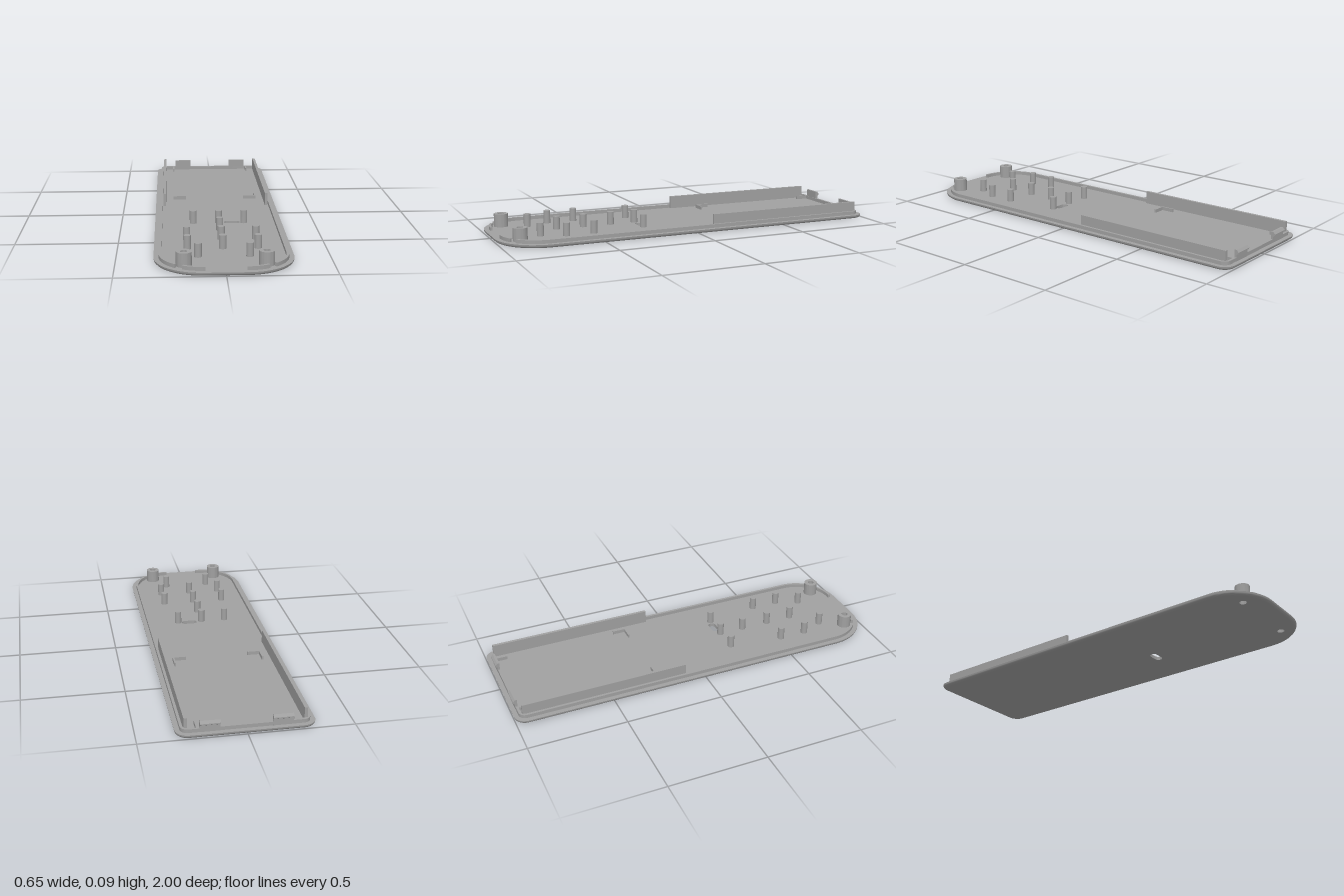
import * as THREE from 'three';
import { toCreasedNormals } from 'three/addons/utils/BufferGeometryUtils.js';

const W = 0.325, BASE = 0.018, LIP = 0.036, TOP = 0.085;
const R_FRONT = 0.225, R_BACK = 0.06;

// Points of an arc in the (x, z) plane, angles in degrees from +x towards +z
function arc(cx, cz, r, from, to, n = 16) {
  return Array.from({ length: n + 1 }, (_, i) => {
    const a = THREE.MathUtils.degToRad(from + (to - from) * i / n);
    return new THREE.Vector2(cx + r * Math.cos(a), cz + r * Math.sin(a));
  });
}

// The four corner arcs of the body, moved inwards by inset
const frontArc = (side, inset, from, to) =>
  arc(side * (W - R_FRONT), 1 - R_FRONT, R_FRONT - inset, from, to);
const backArc = (side, inset, from, to) =>
  arc(side * (W - R_BACK), -1 + R_BACK, R_BACK - inset, from, to, 10);

const outline = (inset) => [
  ...frontArc(1, inset, 0, 90), ...frontArc(-1, inset, 90, 180),
  ...backArc(-1, inset, 180, 270), ...backArc(1, inset, 270, 360),
];

// Extrudes an (x, z) shape between two heights
function slab(shape, y0, y1) {
  const g = new THREE.ExtrudeGeometry(shape, { depth: y1 - y0, bevelEnabled: false, curveSegments: 24 });
  g.rotateX(Math.PI / 2).translate(0, y1, 0);
  return toCreasedNormals(g, 0.6);
}

const circle = (x, z, r) => new THREE.Path().absarc(x, z, r, 0, Math.PI * 2, true);

// Closed rim lofted through [inset, height] levels
function rimGeometry(levels) {
  const rings = levels.map(([inset]) => outline(inset));
  const n = rings[0].length, pos = [], index = [];
  rings.forEach((ring, k) => ring.forEach((p) => pos.push(p.x, levels[k][1], p.y)));
  for (let k = 0; k < rings.length - 1; k++) {
    for (let i = 0; i < n; i++) {
      const j = (i + 1) % n;
      const a = k * n + i, b = k * n + j, c = a + n, d = b + n;
      index.push(a, c, b, b, c, d);
    }
  }
  const g = new THREE.BufferGeometry();
  g.setAttribute('position', new THREE.Float32BufferAttribute(pos, 3));
  g.setIndex(index);
  return toCreasedNormals(g, 0.7);
}

export function createModel() {
  const model = new THREE.Group();
  model.name = 'remoteBackCover';
  const plastic = new THREE.MeshStandardMaterial({ color: 0xa0a0a0 });
  plastic.name = 'grey plastic';

  const add = (name, geometry) => {
    const mesh = new THREE.Mesh(geometry, plastic);
    mesh.name = name;
    model.add(mesh);
    return mesh;
  };
  const box = (name, x0, x1, y0, y1, z0, z1) =>
    add(name, new THREE.BoxGeometry(x1 - x0, y1 - y0, z1 - z0))
      .position.set((x0 + x1) / 2, (y0 + y1) / 2, (z0 + z1) / 2);

  // Base plate with screw holes and a slot
  const bossX = 0.187, bossZ = 0.895;
  const plate = new THREE.Shape(outline(0.018));
  for (const s of [-1, 1]) plate.holes.push(circle(s * bossX, bossZ, 0.018));
  plate.holes.push(new THREE.Path([
    ...arc(0.09, 0.222, 0.02, -90, 90), ...arc(0.048, 0.222, 0.02, 90, 270),
  ]));
  add('basePlate', slab(plate, 0, BASE));

  // Rounded lower edge around the plate
  add('baseRim', rimGeometry([
    [0.018, 0], [0.012, 0.0008], [0.007, 0.003], [0.003, 0.007], [0.0008, 0.012],
    [0, BASE], [0.018, BASE],
  ]));

  // Raised lip along the sides and back
  const lipPath = (inset) => [
    ...frontArc(1, inset, 50, 0), ...backArc(1, inset, 0, -90),
    ...backArc(-1, inset, -90, -180), ...frontArc(-1, inset, 180, 130),
  ];
  add('lip', slab(new THREE.Shape([...lipPath(0.024), ...lipPath(0.037).reverse()]), BASE, LIP));

  for (const s of [-1, 1]) {
    const side = s > 0 ? 'left' : 'right';
    const span = (a, b) => (s > 0 ? [a, b] : [-b, -a]);

    // Short lip piece on the front curve
    const [from, to] = s > 0 ? [61, 92] : [119, 88];
    add(side + 'FrontLip', slab(new THREE.Shape([
      ...frontArc(s, 0.026, from, to), ...frontArc(s, 0.038, to, from),
    ]), BASE, LIP));

    // Tall side rail
    box(side + 'Rail', ...span(0.27, 0.285), BASE, TOP, -0.96, -0.1);

    // Screw boss
    const ring = new THREE.Shape().absarc(s * bossX, bossZ, 0.036, 0, Math.PI * 2);
    ring.holes.push(circle(s * bossX, bossZ, 0.016));
    add(side + 'ScrewBoss', slab(ring, BASE, TOP));

    // Corner brackets of the battery bay
    box(side + 'FrontBracketSide', ...span(0.222, 0.23), BASE, LIP, -0.31, -0.238);
    box(side + 'FrontBracketEnd', ...span(0.16, 0.23), BASE, LIP, -0.246, -0.238);
    box(side + 'BackBracketSide', ...span(0.222, 0.23), BASE, LIP, -0.965, -0.9);

    // Hooked clip at the back edge
    const hook = new THREE.Shape([
      [0.965, BASE], [0.977, BASE], [0.977, 0.05], [0.986, 0.056],
      [0.986, 0.062], [0.976, 0.074], [0.965, 0.074],
    ].map(([x, y]) => new THREE.Vector2(x, y)));
    const clip = new THREE.ExtrudeGeometry(hook, { depth: 0.095, bevelEnabled: false });
    clip.translate(0, 0, -0.0475).rotateY(Math.PI / 2);
    add(side + 'Clip', clip).position.x = s * 0.168;
  }

  // Support pins
  const pins = [
    [-0.13, 0.23], [0, 0.23], [0.13, 0.23], [0, 0.362],
    [-0.168, 0.512], [0, 0.512], [0.168, 0.512],
    [-0.168, 0.655], [0, 0.655], [0.168, 0.655],
    [-0.12, 0.775], [0.12, 0.775],
  ];
  const pinGeometry = new THREE.CylinderGeometry(0.0175, 0.0175, TOP - BASE, 24);
  for (const [x, z] of pins) add('supportPin', pinGeometry).position.set(x, (BASE + TOP) / 2, z);

  return model;
}
